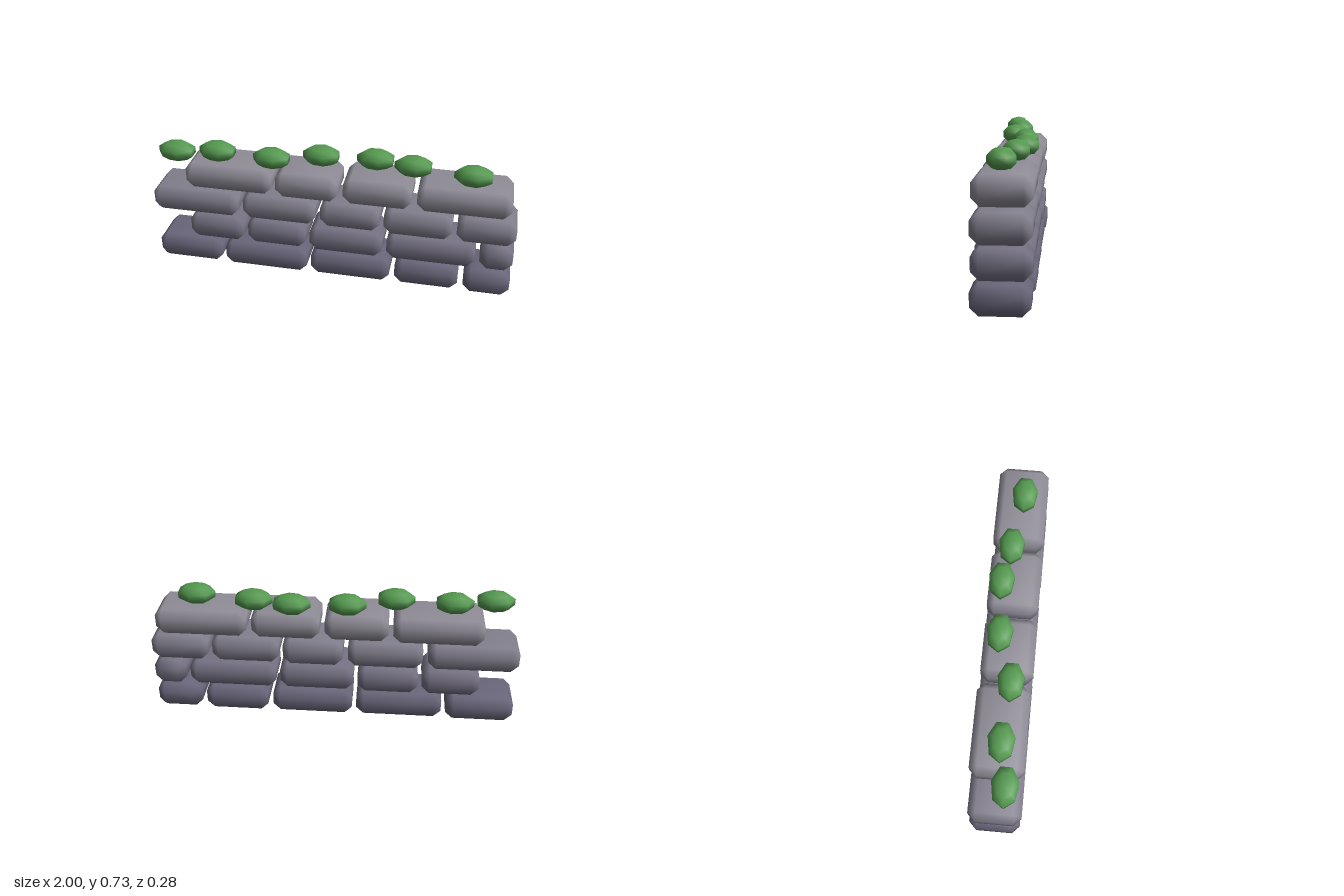
import * as THREE from 'three';
import { ConvexGeometry } from 'three/addons/geometries/ConvexGeometry.js';
import { mergeVertices } from 'three/addons/utils/BufferGeometryUtils.js';

const BEVEL = 0.04;
const STONE_HEIGHT = 0.148;
const STONE_DEPTH = 0.277;

// Box with every edge cut at 45 degrees and softly shaded
function stoneGeometry(w, h, d) {
  const half = [w / 2, h / 2, d / 2];
  const points = [];
  for (const sx of [-1, 1]) for (const sy of [-1, 1]) for (const sz of [-1, 1]) {
    const sign = [sx, sy, sz];
    for (let axis = 0; axis < 3; axis++) {
      const p = half.map((v, i) => sign[i] * (i === axis ? v : v - BEVEL));
      points.push(new THREE.Vector3(...p));
    }
  }
  const hull = new ConvexGeometry(points);
  hull.deleteAttribute('normal');
  const geometry = mergeVertices(hull, 1e-5);
  geometry.computeVertexNormals();
  return geometry;
}

// Courses from bottom to top: base height, colour, [left end, right end] of each stone
const courses = [
  { y: 0, color: 0x6b677c, stones: [[-1, -0.63], [-0.605, -0.13], [-0.105, 0.34], [0.37, 0.72], [0.75, 1]] },
  { y: 0.163, color: 0x777385, stones: [[-0.8, -0.49], [-0.465, -0.135], [-0.11, 0.295], [0.32, 0.8], [0.825, 1]] },
  { y: 0.325, color: 0x83808e, stones: [[-1, -0.515], [-0.485, -0.08], [-0.05, 0.275], [0.3, 0.665], [0.69, 1]] },
  { y: 0.487, color: 0x908d98, stones: [[-0.8, -0.32], [-0.295, 0.045], [0.075, 0.44], [0.47, 0.96]] },
];

// Moss clumps along the top: [x, z]
const clumps = [[-0.855, 0.048], [-0.637, 0.01], [-0.327, 0.03], [-0.07, -0.05],
  [0.225, -0.067], [0.432, -0.032], [0.75, 0.012]];

export function createModel() {
  const wall = new THREE.Group();
  wall.name = 'stoneWall';

  // Stone courses, each stone nudged slightly in depth
  courses.forEach(({ y, color, stones }, row) => {
    const course = new THREE.Group();
    course.name = `course${row + 1}`;
    const material = new THREE.MeshStandardMaterial({ color });
    stones.forEach(([left, right], i) => {
      const stone = new THREE.Mesh(stoneGeometry(right - left, STONE_HEIGHT, STONE_DEPTH), material);
      stone.name = `stone${i + 1}`;
      stone.position.set((left + right) / 2, y + STONE_HEIGHT / 2, 0.003 * ((i * 2 + row) % 3 - 1));
      course.add(stone);
    });
    wall.add(course);
  });

  // Flattened seven-sided moss clumps
  const moss = new THREE.Group();
  moss.name = 'moss';
  const mossGeometry = new THREE.SphereGeometry(1, 7, 5).scale(0.109, 0.055, 0.074);
  const mossMaterial = new THREE.MeshStandardMaterial({ color: 0x559a50 });
  clumps.forEach(([x, z], i) => {
    const clump = new THREE.Mesh(mossGeometry, mossMaterial);
    clump.name = `mossClump${i + 1}`;
    clump.position.set(x, 0.678, z);
    moss.add(clump);
  });
  wall.add(moss);

  return wall;
}
